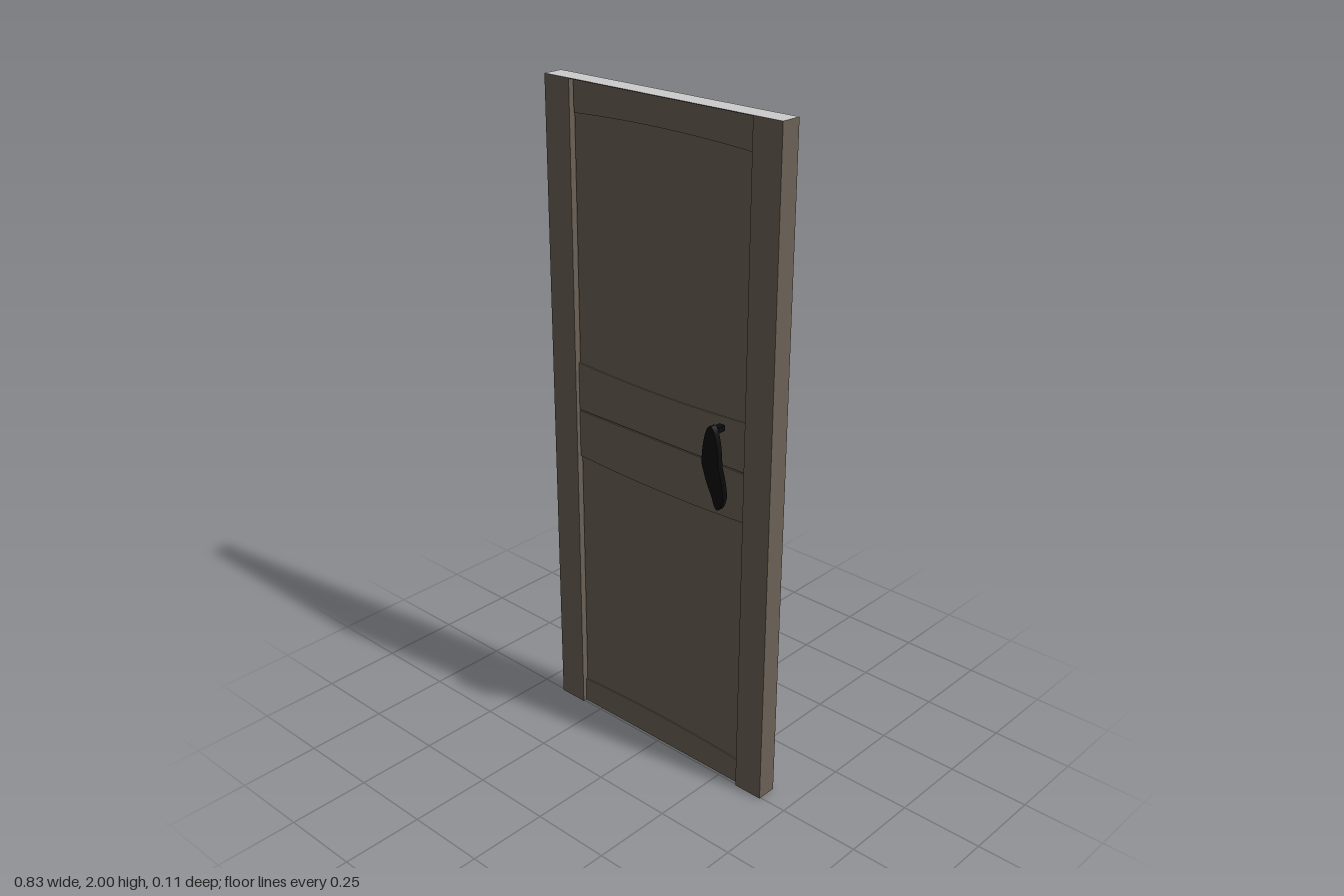
import * as THREE from 'three';

const brown = new THREE.MeshStandardMaterial({ color: 0x6b6156 });
brown.name = 'brown wood';
const black = new THREE.MeshStandardMaterial({ color: 0x0b0b0b });
black.name = 'black metal';
const grey = new THREE.MeshStandardMaterial({ color: 0xcccccc });
grey.name = 'pale grey';

const BACK = -0.058, FRONT = 0.005, MID = (BACK + FRONT) / 2;

function add(group, name, geometry, material, x = 0, y = 0, z = 0) {
  const mesh = new THREE.Mesh(geometry, material);
  mesh.name = name;
  mesh.position.set(x, y, z);
  group.add(mesh);
}

// Board between the stiles, with gently curved lower and upper edges
function board(x0, y0, bow0, y1, bow1, depth) {
  const x1 = 0.32, xm = (x0 + x1) / 2;
  const s = new THREE.Shape();
  s.moveTo(x0, y0);
  s.quadraticCurveTo(xm, y0 + 2 * bow0, x1, y0);
  s.lineTo(x1, y1);
  s.quadraticCurveTo(xm, y1 + 2 * bow1, x0, y1);
  s.closePath();
  return new THREE.ExtrudeGeometry(s, { depth, bevelEnabled: false, curveSegments: 10 })
    .translate(0, 0, MID - depth / 2);
}

// Front surface of the handle grip at height y: flat, slanted, flat
function gripFront(y) {
  const t = THREE.MathUtils.clamp((y - 0.935) / 0.115, 0, 1);
  return 0.021 + 0.034 * t;
}

// Oval grip lofted from flat cross-sections along its height
function gripGeometry() {
  const rows = 28, sections = [];
  for (let i = 0; i <= rows; i++) {
    const a = Math.PI * i / rows;
    const y = 1.0325 - 0.1325 * Math.cos(a), w = 0.03 * Math.sin(a);
    const f = gripFront(y), b = Math.max(FRONT, f - 0.018);
    sections.push([[-w, y, f], [w, y, f], [w, y, b], [-w, y, b]]);
  }
  const geometry = new THREE.BufferGeometry();
  const points = [];
  for (let k = 0; k < 4; k++) {
    for (let i = 0; i < rows; i++) {
      const n = (k + 1) % 4, lo = sections[i], hi = sections[i + 1];
      const slanted = k === 2 && hi[0][1] < 1.055;
      geometry.addGroup(points.length / 3, 6, slanted ? 1 : 0);
      for (const p of [lo[k], lo[n], hi[n], lo[k], hi[n], hi[k]]) points.push(...p);
    }
  }
  geometry.setAttribute('position', new THREE.Float32BufferAttribute(points, 3));
  geometry.computeVertexNormals();
  return geometry;
}

export function createModel() {
  const model = new THREE.Group();
  model.name = 'door';

  // Full-depth stiles
  const stile = (name, x0, x1) => add(model, name,
    new THREE.BoxGeometry(x1 - x0, 1.998, FRONT - BACK), brown, (x0 + x1) / 2, 0.999, MID);
  stile('rightStile', -0.415, -0.321);
  stile('leftStile', 0.32, 0.413);

  // Thin top cover, pale on its upper face
  add(model, 'topCover', new THREE.BoxGeometry(0.828, 0.002, FRONT - BACK),
    [brown, brown, grey, brown, brown, brown], -0.001, 1.999, MID);

  // Recessed rails, and panels set slightly deeper with a hairline gap on one side
  const railX = -0.321, panelX = -0.317, railDepth = 0.037, panelDepth = 0.031;
  add(model, 'bottomRail', board(railX, 0, 0, 0.08, 0.01, railDepth), brown);
  add(model, 'lowerPanel', board(panelX, 0.08, 0.01, 0.875, -0.01, panelDepth), brown);
  add(model, 'lowerMiddleRail', board(railX, 0.875, -0.01, 1.022, 0, railDepth), brown);
  add(model, 'middleGroove', board(railX, 1.022, 0, 1.026, 0, panelDepth), brown);
  add(model, 'upperMiddleRail', board(railX, 1.026, 0, 1.175, -0.01, railDepth), brown);
  add(model, 'upperPanel', board(panelX, 1.175, -0.01, 1.905, 0.01, panelDepth), brown);
  add(model, 'topRail', board(panelX, 1.905, 0.01, 1.998, 0, railDepth), brown);

  // Handle: bent oval grip and a short post at its top
  const handle = new THREE.Group();
  handle.name = 'handle';
  handle.position.x = 0.242;
  add(handle, 'grip', gripGeometry(), [black, grey]);
  add(handle, 'post', new THREE.BoxGeometry(0.02, 0.016, 0.04), black, 0, 1.147, 0.025);
  model.add(handle);

  return model;
}
